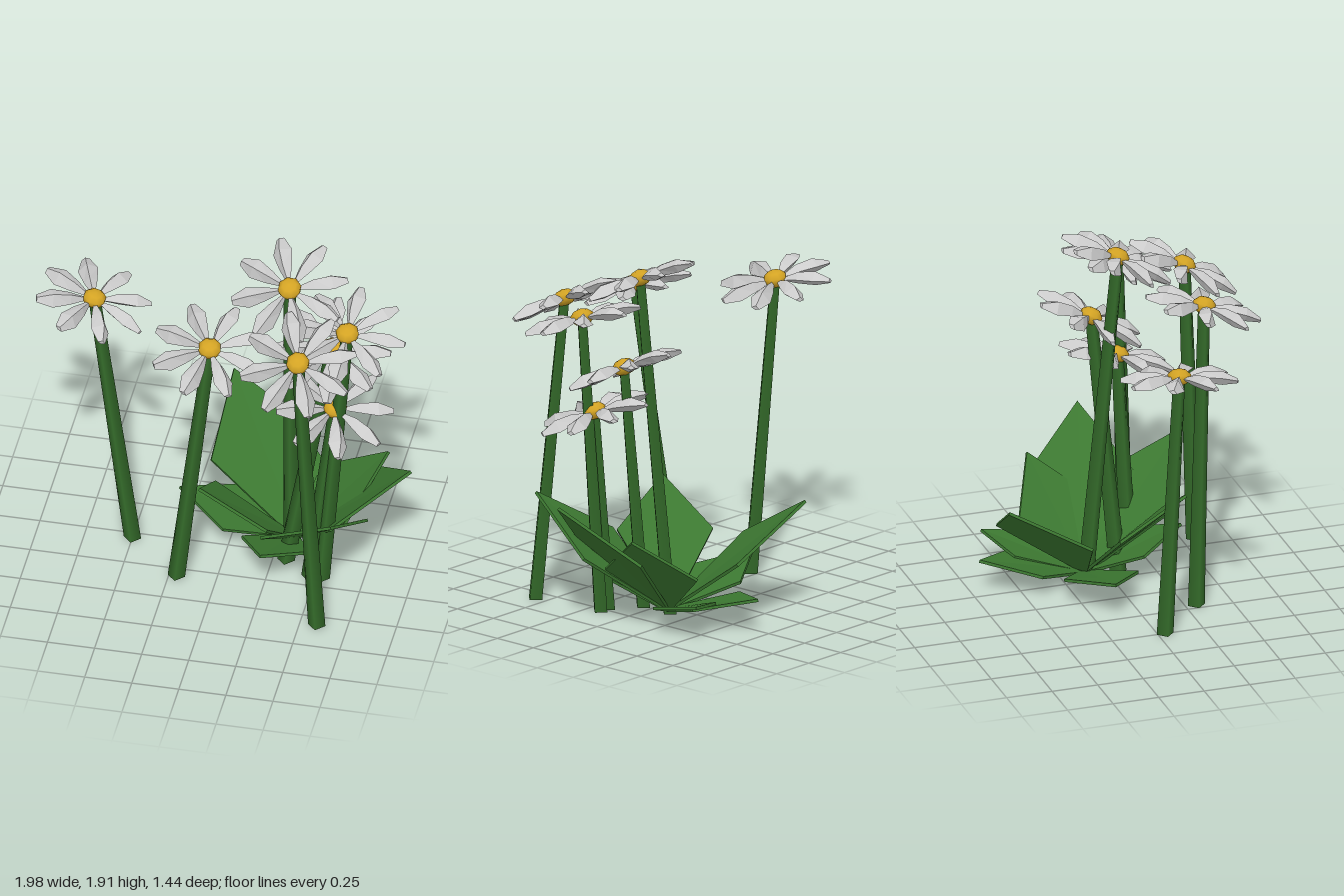
import * as THREE from 'three';

const stemMat = new THREE.MeshStandardMaterial({ color: 0x346b2a });
const leafMat = new THREE.MeshStandardMaterial({ color: 0x3c7831, side: THREE.DoubleSide, flatShading: true });
const petalMat = new THREE.MeshStandardMaterial({ color: 0xcccccc, flatShading: true });
const centreMat = new THREE.MeshStandardMaterial({ color: 0xd4a424 });

function indexed(points, faces) {
  const g = new THREE.BufferGeometry();
  g.setAttribute('position', new THREE.Float32BufferAttribute(points.flat(), 3));
  g.setIndex(faces);
  g.computeVertexNormals();
  return g;
}

function named(geometry, material, name) {
  const m = new THREE.Mesh(geometry, material);
  m.name = name;
  return m;
}

// Petal: plump diamond cross-sections along +x [distance, half width, half thickness, height],
// turned a little about its own length
function petalGeometry() {
  const stations = [
    [0.05, 0.012, 0.010, -0.005],
    [0.13, 0.036, 0.030, 0.0],
    [0.225, 0.054, 0.036, -0.005],
    [0.307, 0.022, 0.012, -0.02],
  ];
  const points = [], faces = [];
  for (const [x, w, t, y] of stations)
    points.push([x, y + t, 0], [x, y - 0.3 * t, w], [x, y - t, 0], [x, y - 0.3 * t, -w]);
  for (let s = 0; s < stations.length - 1; s++)
    for (let k = 0; k < 4; k++) {
      const a = s * 4 + k, b = s * 4 + (k + 1) % 4;
      faces.push(a, b, b + 4, a, b + 4, a + 4);
    }
  const e = points.length - 4;
  faces.push(0, 2, 1, 0, 3, 2, e, e + 1, e + 2, e, e + 2, e + 3);
  return indexed(points, faces).rotateX(-0.35);
}

// Stem: tapered four-sided post sheared so that both ends stay level
function stemGeometry(base, top) {
  const [tx, ty, tz] = top;
  const g = new THREE.CylinderGeometry(0.033, 0.046, ty, 4).translate(0, ty / 2, 0);
  const p = g.attributes.position;
  for (let i = 0; i < p.count; i++) {
    const f = p.getY(i) / ty;
    p.setX(i, p.getX(i) + base[0] + (tx - base[0]) * f);
    p.setZ(i, p.getZ(i) + base[1] + (tz - base[1]) * f);
  }
  return g;
}

// Leaf: thin kite from the rosette root to a tip, folded slightly along its middle
function leafGeometry(root, tip, half, fraction) {
  const a = new THREE.Vector3(...root), b = new THREE.Vector3(...tip);
  const dir = b.clone().sub(a);
  const side = new THREE.Vector3(-dir.z, 0, dir.x).normalize();
  const up = side.clone().cross(dir).normalize();
  const mid = a.clone().addScaledVector(dir, fraction);
  const outline = [
    a.clone().addScaledVector(side, 0.02),
    mid.clone().addScaledVector(side, half).addScaledVector(up, 0.015),
    b,
    mid.clone().addScaledVector(side, -half).addScaledVector(up, 0.015),
    a.clone().addScaledVector(side, -0.02),
  ];
  const top = [mid, ...outline];
  const points = [...top, ...top.map(v => v.clone().addScaledVector(up, -0.016))].map(v => v.toArray());
  const faces = [];
  for (let i = 0; i < 5; i++) {
    const p = 1 + i, q = 1 + (i + 1) % 5;
    faces.push(0, p, q, 6, q + 6, p + 6, p, p + 6, q + 6, p, q + 6, q);
  }
  return indexed(points, faces);
}

export function createModel() {
  const model = new THREE.Group();
  model.name = 'flowerClump';

  // Flowers: head centre, stem base (x, z), lean of the head (x, z), turn
  const flowers = [
    { top: [-0.70, 1.55, 0.05], base: [-0.50, 0.04], lean: [0.22, 0.06], turn: 0.38 },
    { top: [-0.01, 1.61, 0.42], base: [-0.21, 0.31], lean: [0.07, 0.28], turn: 0.55 },
    { top: [0.34, 1.79, 0.065], base: [0.315, -0.12], lean: [0.02, 0.47], turn: 0.38 },
    { top: [0.47, 1.63, 0.475], base: [0.59, 0.57], lean: [0.0, 0.52], turn: 0.38 },
    { top: [0.67, 1.63, 0.175], base: [0.53, 0.17], lean: [0.0, 0.32], turn: 0.0 },
    { top: [0.55, 1.37, -0.01], base: [0.32, 0.06], lean: [0.0, 0.48], turn: 0.12 },
    { top: [0.60, 1.11, 0.15], base: [0.47, 0.17], lean: [0.15, 0.28], turn: 0.3 },
  ];
  const petal = petalGeometry();
  const centre = new THREE.SphereGeometry(0.064, 8, 5).scale(1, 0.7, 1);
  const yAxis = new THREE.Vector3(0, 1, 0);
  for (const { top, base, lean, turn } of flowers) {
    const flower = new THREE.Group();
    flower.name = 'flower';
    flower.add(named(stemGeometry(base, top), stemMat, 'stem'));

    const head = new THREE.Group();
    head.name = 'flowerHead';
    head.position.set(...top);
    head.quaternion.setFromUnitVectors(yAxis, new THREE.Vector3(lean[0], 1, lean[1]).normalize());
    head.rotateY(turn);
    head.add(named(centre, centreMat, 'flowerCentre'));
    for (let i = 0; i < 8; i++) {
      const m = named(petal, petalMat, 'petal');
      m.rotation.y = i * Math.PI / 4;
      head.add(m);
    }
    flower.add(head);
    model.add(flower);
  }

  // Rosette of leaves: tip, half width, where it is widest
  const root = [0.33, 0.03, -0.12];
  const leaves = [
    [[-0.11, 0.63, -0.68], 0.30, 0.54],
    [[0.98, 0.69, 0.06], 0.30, 0.54],
    [[0.65, 0.61, 0.51], 0.29, 0.54],
    [[-0.09, 0.58, 0.29], 0.25, 0.58],
    [[0.79, 0.53, -0.28], 0.26, 0.48],
    [[0.29, 0.19, -0.71], 0.20, 0.54],
    [[0.635, 0.20, -0.585], 0.17, 0.6],
    [[-0.29, 0.22, -0.16], 0.20, 0.54],
    [[0.25, 0.26, 0.38], 0.19, 0.56],
  ];
  const rosette = new THREE.Group();
  rosette.name = 'leaves';
  for (const [tip, half, fraction] of leaves)
    rosette.add(named(leafGeometry(root, tip, half, fraction), leafMat, 'leaf'));
  model.add(rosette);
  return model;
}
